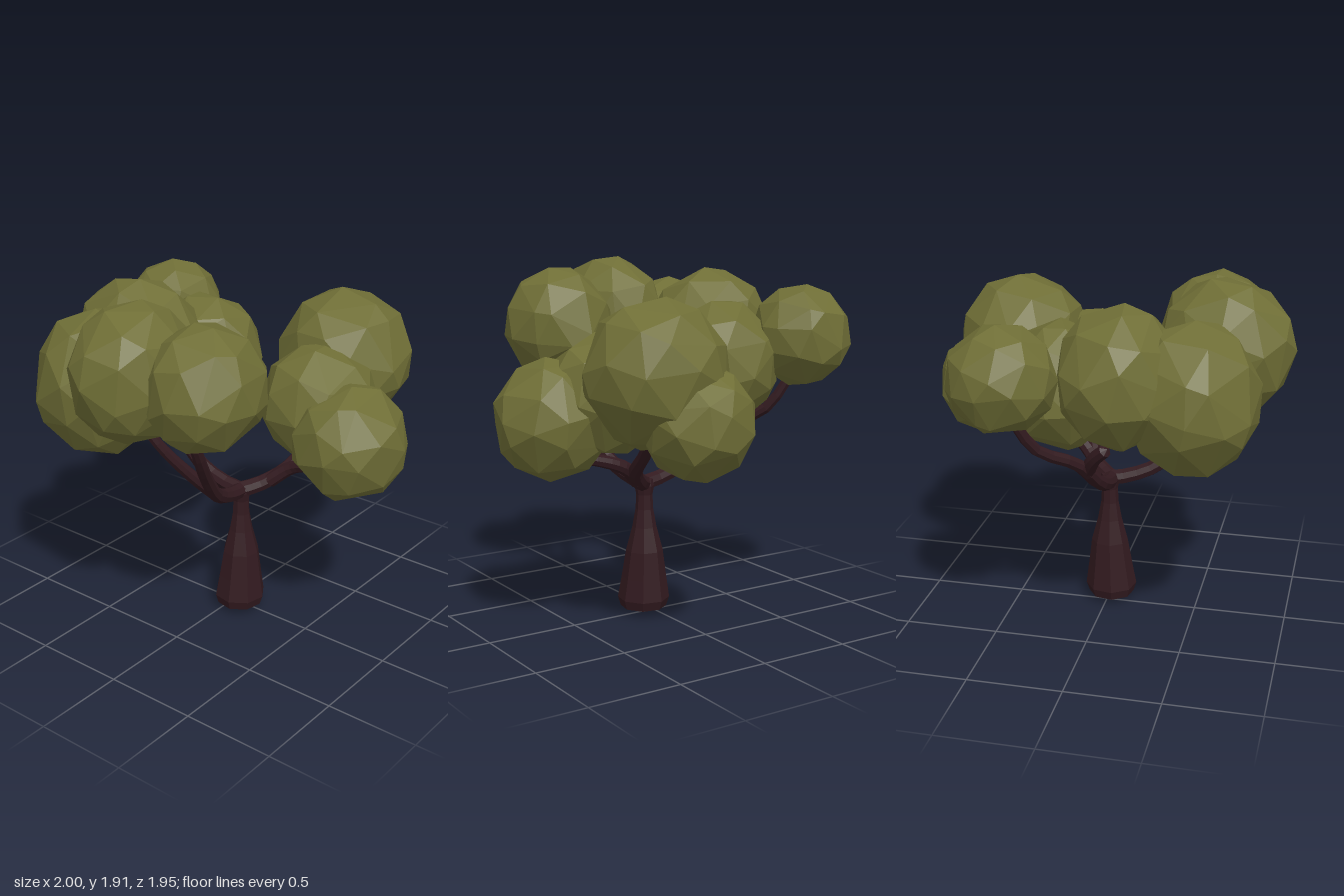
import * as THREE from 'three';

const bark = new THREE.MeshStandardMaterial({ color: 0x321a1f, flatShading: true });
const leaf = new THREE.MeshStandardMaterial({ color: 0x6f6e36, flatShading: true });

// Tapered limb along a smooth curve, closed at its tip
function limb(name, points, r0, r1) {
  const curve = new THREE.CatmullRomCurve3(points.map(p => new THREE.Vector3(...p)));
  const rings = 12, sides = 8;
  const geo = new THREE.TubeGeometry(curve, rings, 1, sides);
  const pos = geo.attributes.position, v = new THREE.Vector3();
  for (let i = 0; i < pos.count; i++) {
    const ring = Math.floor(i / (sides + 1)), t = ring / rings;
    const r = ring === rings ? 0.001 : r0 + (r1 - r0) * t;
    const c = curve.getPointAt(t);
    v.fromBufferAttribute(pos, i).sub(c).multiplyScalar(r).add(c);
    pos.setXYZ(i, v.x, v.y, v.z);
  }
  geo.computeVertexNormals();
  const mesh = new THREE.Mesh(geo, bark);
  mesh.name = name;
  return mesh;
}

// Trunk with a flared, chamfered foot and a slim neck, leaning slightly to +x
function makeTrunk() {
  const profile = [[0, 0], [0.07, 0.012], [0.125, 0.03], [0.141, 0.08], [0.122, 0.2], [0.1, 0.35],
    [0.066, 0.48], [0.048, 0.58], [0.044, 0.66], [0.054, 0.71], [0.048, 0.745], [0, 0.765]];
  const geo = new THREE.LatheGeometry(profile.map(p => new THREE.Vector2(...p)), 8, 0.2);
  const pos = geo.attributes.position;
  for (let i = 0; i < pos.count; i++) {
    pos.setX(i, pos.getX(i) + 0.012 * Math.min(1, pos.getY(i) / 0.35));
  }
  geo.computeVertexNormals();
  const mesh = new THREE.Mesh(geo, bark);
  mesh.position.set(-0.016, 0, 0.055);
  mesh.name = 'trunk';
  return mesh;
}

// Faceted foliage ball: centre and radii, with corners slid about for uneven facets
function foliage([x, y, z, rx, ry, rz], i) {
  const geo = new THREE.IcosahedronGeometry(1, 1);
  const pos = geo.attributes.position, v = new THREE.Vector3();
  for (let k = 0; k < pos.count; k++) {
    v.fromBufferAttribute(pos, k);
    const slide = new THREE.Vector3(
      Math.sin(7 * v.y + i), Math.sin(7 * v.z + 2 * i), Math.sin(7 * v.x + 3 * i));
    v.addScaledVector(slide, 0.12).setLength(1.02);
    pos.setXYZ(k, v.x, v.y, v.z);
  }
  geo.rotateX(i * 1.3 + 0.4).rotateY(i * 2.1).rotateZ(i * 0.7);
  geo.scale(rx, ry, rz);
  geo.computeVertexNormals();
  const mesh = new THREE.Mesh(geo, leaf);
  mesh.position.set(x, y, z);
  mesh.name = 'foliage' + (i + 1);
  return mesh;
}

export function createModel() {
  const tree = new THREE.Group();
  tree.name = 'tree';
  tree.add(makeTrunk());

  // Three main boughs, each with a fork
  tree.add(
    limb('rightBough', [[-0.004, 0.72, 0.055], [-0.12, 0.74, 0.075], [-0.28, 0.812, 0.11],
      [-0.44, 0.99, 0.17], [-0.57, 1.17, 0.23], [-0.64, 1.3, 0.25]], 0.044, 0.028),
    limb('rightFork', [[-0.28, 0.812, 0.11], [-0.43, 0.97, 0.06], [-0.56, 1.15, -0.02],
      [-0.64, 1.32, -0.1]], 0.038, 0.025),
    limb('backBough', [[-0.01, 0.72, 0.055], [-0.02, 0.745, -0.08], [-0.01, 0.825, -0.26],
      [0.06, 0.99, -0.44], [0.23, 1.11, -0.59], [0.34, 1.34, -0.7]], 0.044, 0.026),
    limb('backFork', [[0.025, 0.92, -0.36], [-0.03, 1.02, -0.43], [-0.11, 1.1, -0.48]], 0.042, 0.034),
    limb('leftBough', [[-0.01, 0.72, 0.055], [0.07, 0.75, 0.13], [0.18, 0.835, 0.23],
      [0.33, 0.95, 0.27], [0.48, 1.1, 0.31]], 0.046, 0.03),
    limb('frontFork', [[0.1, 0.77, 0.17], [0.15, 0.86, 0.28], [0.14, 0.91, 0.42],
      [0.11, 0.94, 0.6]], 0.042, 0.026),
  );

  // Crown: x, y, z, then radii
  const balls = [
    [-0.645, 1.56, -0.115, 0.35, 0.355, 0.3],
    [-0.555, 1.54, 0.265, 0.315, 0.32, 0.295],
    [-0.53, 1.39, -0.46, 0.34, 0.39, 0.345],
    [-0.175, 1.49, -0.5, 0.315, 0.36, 0.365],
    [0.175, 1.37, -0.325, 0.3, 0.335, 0.305],
    [0.36, 1.51, -0.71, 0.275, 0.27, 0.265],
    [0.545, 1.4, 0.34, 0.355, 0.37, 0.365],
    [0.715, 1.175, 0.21, 0.285, 0.29, 0.28],
    [0.1, 1.145, 0.67, 0.305, 0.31, 0.3],
    [0.19, 1.26, 0.42, 0.31, 0.315, 0.315],
  ];
  const crown = new THREE.Group();
  crown.name = 'crown';
  balls.forEach((b, i) => crown.add(foliage(b, i)));
  tree.add(crown);
  return tree;
}
